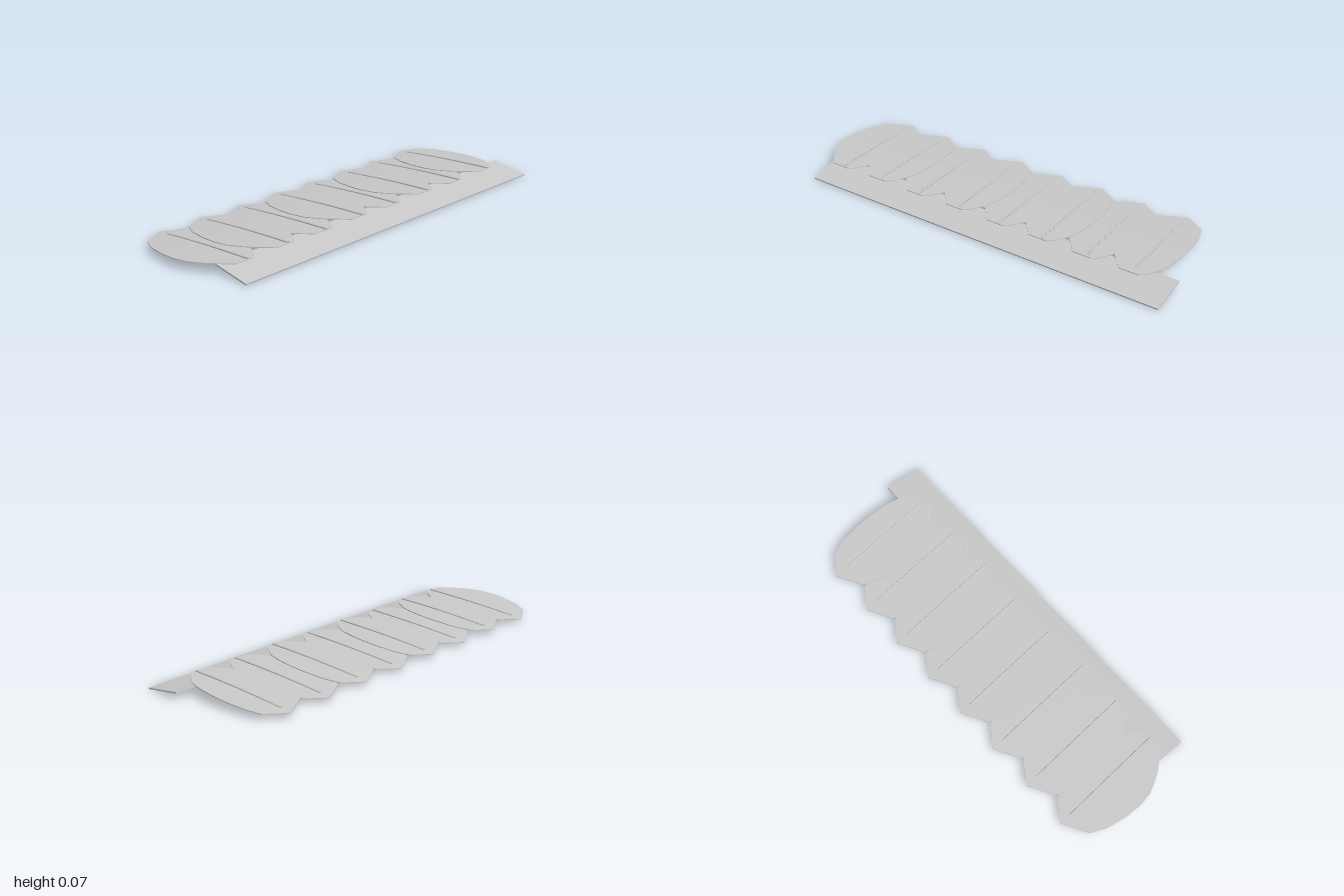
import * as THREE from 'three';
import { toCreasedNormals } from 'three/addons/utils/BufferGeometryUtils.js';

const COUNT = 8, PITCH = 0.2312, FIRST_X = -0.81, THICK = 0.004, LAYER = 0.002;

// Outline of one scale, back to front: z, left x, right x
const OUTLINE = [
  [-0.34, -0.012, -0.006], [-0.275, -0.128, 0.088], [-0.2, -0.165, 0.113],
  [-0.1, -0.185, 0.125], [-0.02, -0.19, 0.127], [0.05, -0.18, 0.122],
  [0.1, -0.157, 0.114], [0.146, -0.131, 0.102], [0.19, -0.095, 0.076],
  [0.215, -0.076, 0.06], [0.235, -0.06, 0.035],
];

// Gentle arch from front to back, and the slight slant of the midrib
const archY = (z) => 0.0462 + 0.0505 * z - 0.069 * z * z;
const midX = (z) => 0.035 * z;

// Thin closed slab lofted along the outline, four corners per section
function scaleGeometry() {
  const pos = [], index = [], h = THICK / 2;
  for (const [z, left, right] of OUTLINE) {
    const y = archY(z);
    pos.push(left, y + h, z, right, y + h, z, right, y - h, z, left, y - h, z);
  }
  const last = (OUTLINE.length - 1) * 4;
  for (let a = 0; a < last; a += 4) {
    for (let k = 0; k < 4; k++) {
      const p = a + k, q = a + (k + 1) % 4;
      index.push(p, p + 4, q, q, p + 4, q + 4);
    }
  }
  // Back and front end faces
  index.push(0, 1, 2, 0, 2, 3);
  index.push(last, last + 2, last + 1, last, last + 3, last + 2);
  const geo = new THREE.BufferGeometry();
  geo.setAttribute('position', new THREE.Float32BufferAttribute(pos, 3));
  geo.setIndex(index);
  return toCreasedNormals(geo, 0.5);
}

// Thin rib lying on top of the scale and following its arch
function ribGeometry() {
  const points = [];
  for (let i = 0; i <= 6; i++) {
    const z = -0.285 + (0.52 * i) / 6;
    points.push(new THREE.Vector3(midX(z), archY(z) + 0.0045 + 0.005 * z, z));
  }
  return new THREE.TubeGeometry(new THREE.CatmullRomCurve3(points), 16, 0.0045, 8, false);
}

export function createModel() {
  const model = new THREE.Group();
  model.name = 'scaledStrip';

  const grey = new THREE.MeshStandardMaterial({ color: 0xc9c9c9, side: THREE.DoubleSide });
  grey.name = 'light grey';

  // Row of overlapping scales, alternately lapping under and over
  const plateGeo = scaleGeometry(), ribGeo = ribGeometry();
  for (let i = 0; i < COUNT; i++) {
    const scale = new THREE.Group();
    scale.name = 'scale' + (i + 1);
    scale.position.set(FIRST_X + i * PITCH, i % 2 ? LAYER : -LAYER, 0);
    const plate = new THREE.Mesh(plateGeo, grey);
    plate.name = 'plate';
    const rib = new THREE.Mesh(ribGeo, grey);
    rib.name = 'midrib';
    scale.add(plate, rib);
    model.add(scale);
  }

  // Sloping board along the front
  const board = new THREE.Mesh(new THREE.BoxGeometry(1.905, 0.007, 0.192), grey);
  board.name = 'frontBoard';
  board.position.set(0.0475, 0.0195, 0.245);
  board.rotation.x = 0.167;
  model.add(board);

  return model;
}
